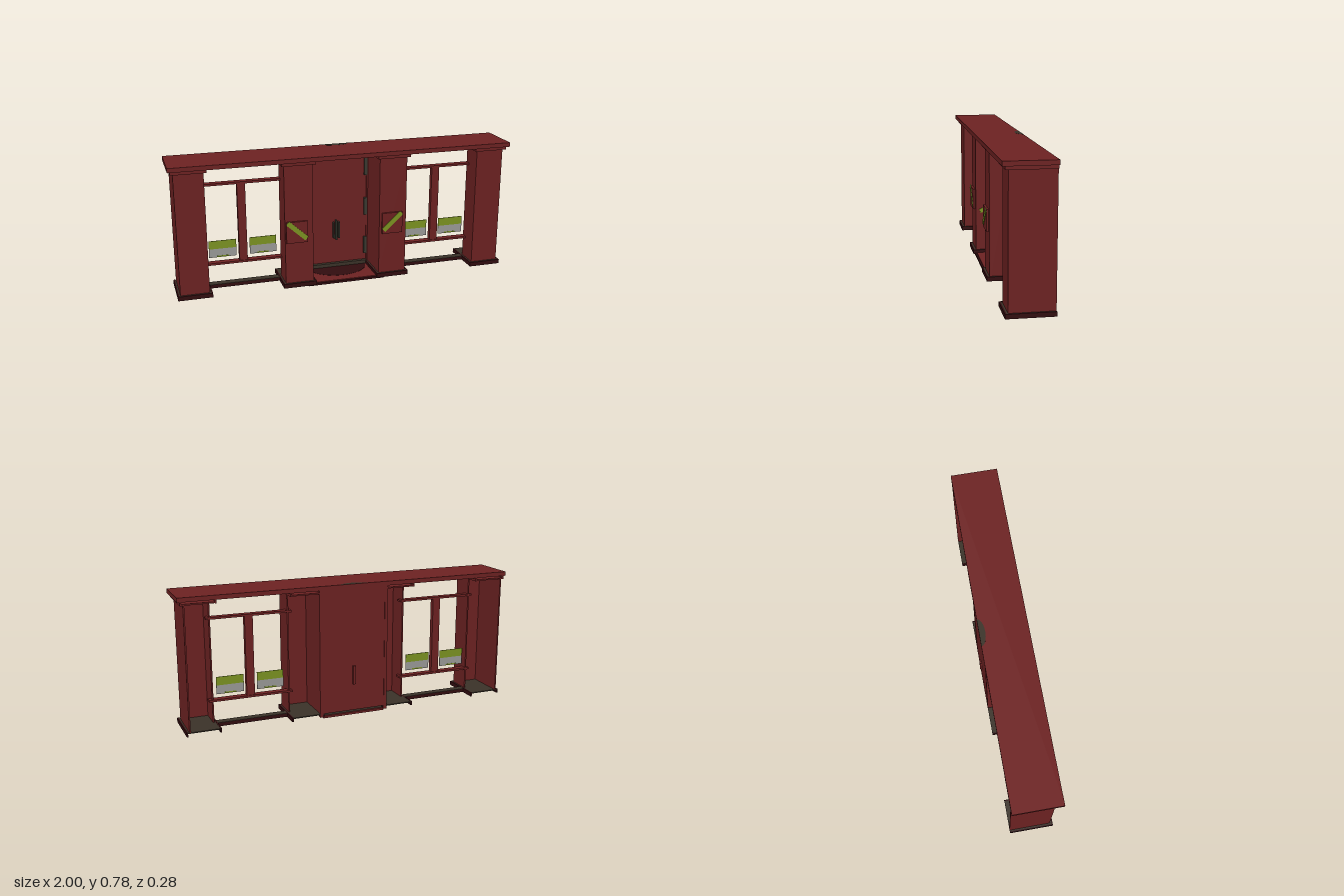
import * as THREE from 'three';

const mat = (name, color, side = THREE.FrontSide) => {
  const m = new THREE.MeshStandardMaterial({ color, side });
  m.name = name;
  return m;
};

export function createModel() {
  const red = mat('red paint', 0x6e2222);
  const darkRed = mat('dark red plinth', 0x320d0f);
  const brown = mat('brown floor', 0x3b3329);
  const green = mat('olive green', 0x7d9522, THREE.DoubleSide);
  const grey = mat('grey poster', 0x9c9c9a, THREE.DoubleSide);
  const iron = mat('dark iron', 0x3b3a31);

  const root = new THREE.Group();
  root.name = 'shopfront';

  // Box given by its limits on each axis
  const box = (parent, name, m, x0, x1, y0, y1, z0, z1) => {
    const mesh = new THREE.Mesh(
      new THREE.BoxGeometry(Math.abs(x1 - x0), y1 - y0, z1 - z0), m);
    mesh.position.set((x0 + x1) / 2, (y0 + y1) / 2, (z0 + z1) / 2);
    mesh.name = name;
    parent.add(mesh);
    return mesh;
  };

  const BACK = -0.137, FRONT = 0.103, T = 0.008;

  // Three-sided skirt, open at the back
  const skirt = (parent, name, m, x0, x1, y0, y1) => {
    box(parent, name + 'Front', m, x0, x1, y0, y1, 0.12 - T, 0.12);
    box(parent, name + 'SideA', m, x0, x0 + T, y0, y1, BACK, 0.12 - T);
    box(parent, name + 'SideB', m, x1 - T, x1, y0, y1, BACK, 0.12 - T);
  };

  // Hollow pillar: one deep side wall, one shallow side wall, open back
  const pillar = (name, x0, x1, deepAtLow) => {
    const g = new THREE.Group();
    g.name = name;
    box(g, 'pillarFront', red, x0, x1, 0.03, 0.74, FRONT - T, FRONT);
    box(g, 'pillarSideLow', red, x0, x0 + T, 0.03, 0.74, deepAtLow ? BACK : -0.03, FRONT - T);
    box(g, 'pillarSideHigh', red, x1 - T, x1, 0.03, 0.74, deepAtLow ? -0.03 : BACK, FRONT - T);
    const a = x0 - 0.015, b = x1 + 0.015;
    skirt(g, 'plinth', darkRed, a, b, 0.008, 0.033);
    box(g, 'plinthFloor', brown, a + T, b - T, 0.026, 0.032, BACK, 0.12 - T);
    skirt(g, 'capital', red, a, b, 0.735, 0.756);
    box(g, 'capitalPlate', red, a + T, b - T, 0.737, 0.745, BACK, 0.12 - T);
    root.add(g);
  };
  pillar('leftOuterPillar', 0.805, 0.97, false);
  pillar('leftInnerPillar', 0.2, 0.365, true);
  pillar('rightInnerPillar', -0.365, -0.2, false);
  pillar('rightOuterPillar', -0.97, -0.805, true);

  // Roof slab
  box(root, 'roof', red, -1, 1, 0.755, 0.78, BACK, 0.137);

  // Window bays
  for (const s of [1, -1]) {
    const g = new THREE.Group();
    g.name = s > 0 ? 'leftWindow' : 'rightWindow';
    for (const [n, y] of [['lowerRail', 0.153], ['upperRail', 0.625]])
      box(g, n, red, s * 0.34, s * 0.83, y, y + 0.012, -0.035, 0.005);
    box(g, 'mullion', red, s * 0.565, s * 0.612, 0.163, 0.627, -0.03, 0);
    box(g, 'sill', darkRed, s * 0.38, s * 0.79, 0.01, 0.03, -0.045, 0);
    box(g, 'sillTop', brown, s * 0.38, s * 0.79, 0.03, 0.032, -0.045, 0);
    box(g, 'header', red, s * 0.38, s * 0.79, 0.738, 0.756, -0.045, 0);
    for (const [a, b] of [[0.392, 0.548], [0.626, 0.784]]) {
      const c = (a + b) / 2;
      box(g, 'posterTop', green, s * a, s * b, 0.243, 0.292, -0.021, -0.018);
      box(g, 'posterBottom', grey, s * a, s * b, 0.192, 0.243, -0.021, -0.018);
      box(g, 'posterMark', green, s * (c - 0.035), s * (c + 0.035), 0.193, 0.201, -0.022, -0.017);
    }
    root.add(g);
  }

  // Door with frame posts, hinges and pull handles
  const door = new THREE.Group();
  door.name = 'door';
  box(door, 'doorPanel', red, -0.192, 0.192, 0.03, 0.756, -0.134, -0.122);
  for (const s of [1, -1]) {
    box(door, 'doorPost', red, s * 0.192, s * 0.21, 0.01, 0.756, BACK, -0.115);
    for (const y of [0.08, 0.33, 0.582])
      box(door, 'hinge', iron, s * 0.176, s * 0.194, y, y + 0.108, -0.122, -0.108);
  }
  for (const x of [-0.016, 0, 0.016])
    box(door, 'handleBar', iron, x - 0.004, x + 0.004, x ? 0.2 : 0.188, x ? 0.3 : 0.312, -0.122, -0.102);
  box(door, 'backHandle', red, -0.008, 0.008, 0.19, 0.3, -0.146, -0.134);
  root.add(door);

  // Entrance step with a brown strip along the door
  box(root, 'entranceStep', red, -0.19, 0.19, 0.004, 0.016, BACK, 0.1);
  box(root, 'stepEdge', darkRed, -0.23, 0.23, 0, 0.012, 0.1, 0.11);
  box(root, 'doorThreshold', brown, -0.192, 0.192, 0.016, 0.038, -0.122, -0.1);

  // Half-round inlays at the back of the roof and under the step
  const inlay = (name, m, rx, rz, y, z) => {
    const mesh = new THREE.Mesh(new THREE.CylinderGeometry(1, 1, 0.002, 24, 1, false, -Math.PI / 2, Math.PI), m);
    mesh.scale.set(rx, 1, rz);
    mesh.position.set(0, y, z);
    mesh.name = name;
    root.add(mesh);
  };
  inlay('roofInlay', brown, 0.08, 0.035, 0.7795, BACK);
  inlay('stepInlay', darkRed, 0.18, 0.15, 0.016, -0.11);
  inlay('stepUnderside', brown, 0.18, 0.15, 0.004, -0.11);

  // Square signs with a diagonal green band
  const sign = (name, cx, tilt) => {
    const g = new THREE.Group();
    g.name = name;
    box(g, 'signBoard', red, -0.062, 0.062, -0.063, 0.063, 0, 0.013);
    const band = box(g, 'signBand', green, -0.075, 0.075, -0.014, 0.014, 0.012, 0.017);
    band.rotation.z = tilt;
    g.position.set(cx, 0.343, FRONT);
    root.add(g);
    return band;
  };
  sign('rightSign', -0.297, -0.74).position.y = 0.01;
  sign('leftSign', 0.277, 0.74).position.y = 0.01;

  // Bands on both faces of the right doorway wall
  const wallBand = box(root, 'doorwayBand', green, -0.2, -0.196, 0.295, 0.32, -0.075, 0.085);
  wallBand.rotation.x = 0.42;
  box(root, 'innerBand', green, -0.212, -0.208, 0.12, 0.4, -0.055, -0.005);

  return root;
}
